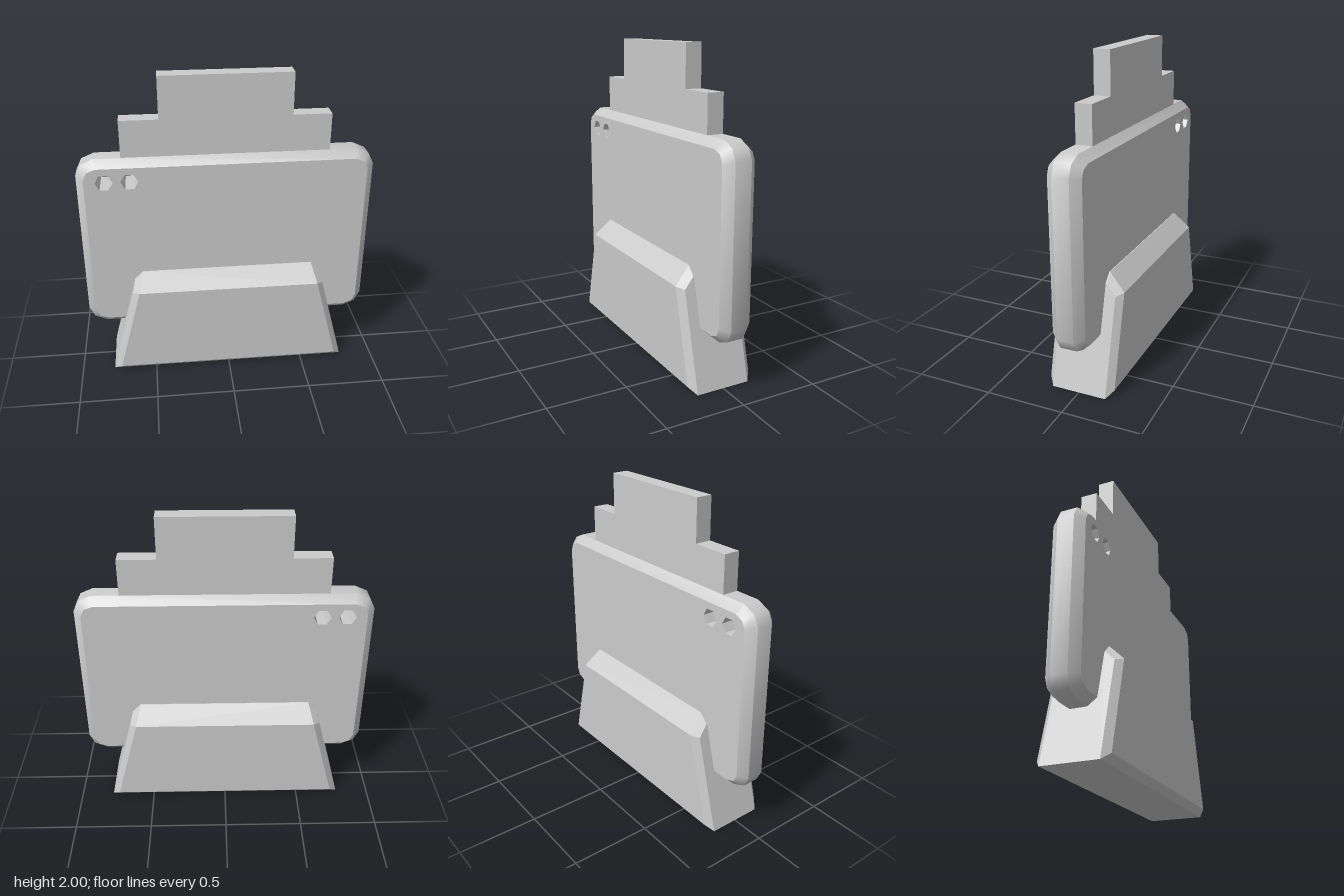
import * as THREE from 'three';
import { toCreasedNormals } from 'three/addons/utils/BufferGeometryUtils.js';
import { ConvexGeometry } from 'three/addons/geometries/ConvexGeometry.js';

const material = new THREE.MeshStandardMaterial({ color: 0xcccccc });

function addPart(group, name, geometry) {
  const mesh = new THREE.Mesh(geometry, material);
  mesh.name = name;
  group.add(mesh);
}

const polygon = (points) => new THREE.Shape(points.map(([x, y]) => new THREE.Vector2(x, y)));

// Rounded slab with chamfered rims and two hexagonal through-holes
function slabGeometry() {
  const midY = 0.91, halfDepth = 0.105, chamfer = 0.05;
  const corner = [[0.93, 0.485], [0.895, 0.555], [0.815, 0.59]];
  const flipped = [...corner].reverse();
  const shape = polygon([
    ...corner.map(([x, y]) => [x, midY + y]),
    ...flipped.map(([x, y]) => [-x, midY + y]),
    ...corner.map(([x, y]) => [-x, midY - y]),
    ...flipped.map(([x, y]) => [x, midY - y]),
  ]);
  for (const x of [-0.76, -0.604]) {
    const hole = [];
    for (let i = 0; i < 6; i++) {
      const a = -i * Math.PI / 3;
      hole.push(new THREE.Vector2(x + 0.055 * Math.cos(a), 1.36 + 0.055 * Math.sin(a)));
    }
    shape.holes.push(new THREE.Path(hole));
  }
  const geometry = new THREE.ExtrudeGeometry(shape, { depth: 2 * halfDepth, steps: 4, bevelEnabled: false });
  geometry.translate(0, 0, -halfDepth);

  // Pull the outer outline inward on the front and back faces
  const pos = geometry.attributes.position;
  for (let i = 0; i < pos.count; i++) {
    if (Math.abs(pos.getZ(i)) < halfDepth - 0.01) continue;
    const x = pos.getX(i), y = pos.getY(i);
    const dx = x - THREE.MathUtils.clamp(x, -0.78, 0.78);
    const dy = y - THREE.MathUtils.clamp(y, midY - 0.44, midY + 0.44);
    const d = Math.hypot(dx, dy);
    if (d > 0.1) pos.setXY(i, x - chamfer * dx / d, y - chamfer * dy / d);
  }
  return toCreasedNormals(geometry, 0.7);
}

// Tapered stand with chamfered edges, symmetric in x and z
function standGeometry() {
  const quarter = [
    [0.785, 0, 0.175], [0.735, 0.04, 0.215], [0.585, 0.615, 0.215],
    [0.627, 0.6, 0.175], [0.61, 0.665, 0.11], [0.555, 0.72, 0.11],
  ];
  const points = [];
  for (const sx of [-1, 1]) for (const sz of [-1, 1]) {
    for (const [x, y, z] of quarter) points.push(new THREE.Vector3(sx * x, y, sz * z));
  }
  return new ConvexGeometry(points);
}

// Stepped plate rising from the top of the slab
function plateGeometry() {
  const shape = polygon([
    [-0.65, 1.45], [0.645, 1.45], [0.645, 1.735], [0.405, 1.735],
    [0.405, 2], [-0.41, 2], [-0.41, 1.735], [-0.65, 1.735],
  ]);
  return new THREE.ExtrudeGeometry(shape, { depth: 0.105, bevelEnabled: false }).translate(0, 0, -0.0525);
}

export function createModel() {
  const group = new THREE.Group();
  group.name = 'standingPanel';
  addPart(group, 'slab', slabGeometry());
  addPart(group, 'stand', standGeometry());
  addPart(group, 'steppedPlate', plateGeometry());
  return group;
}
